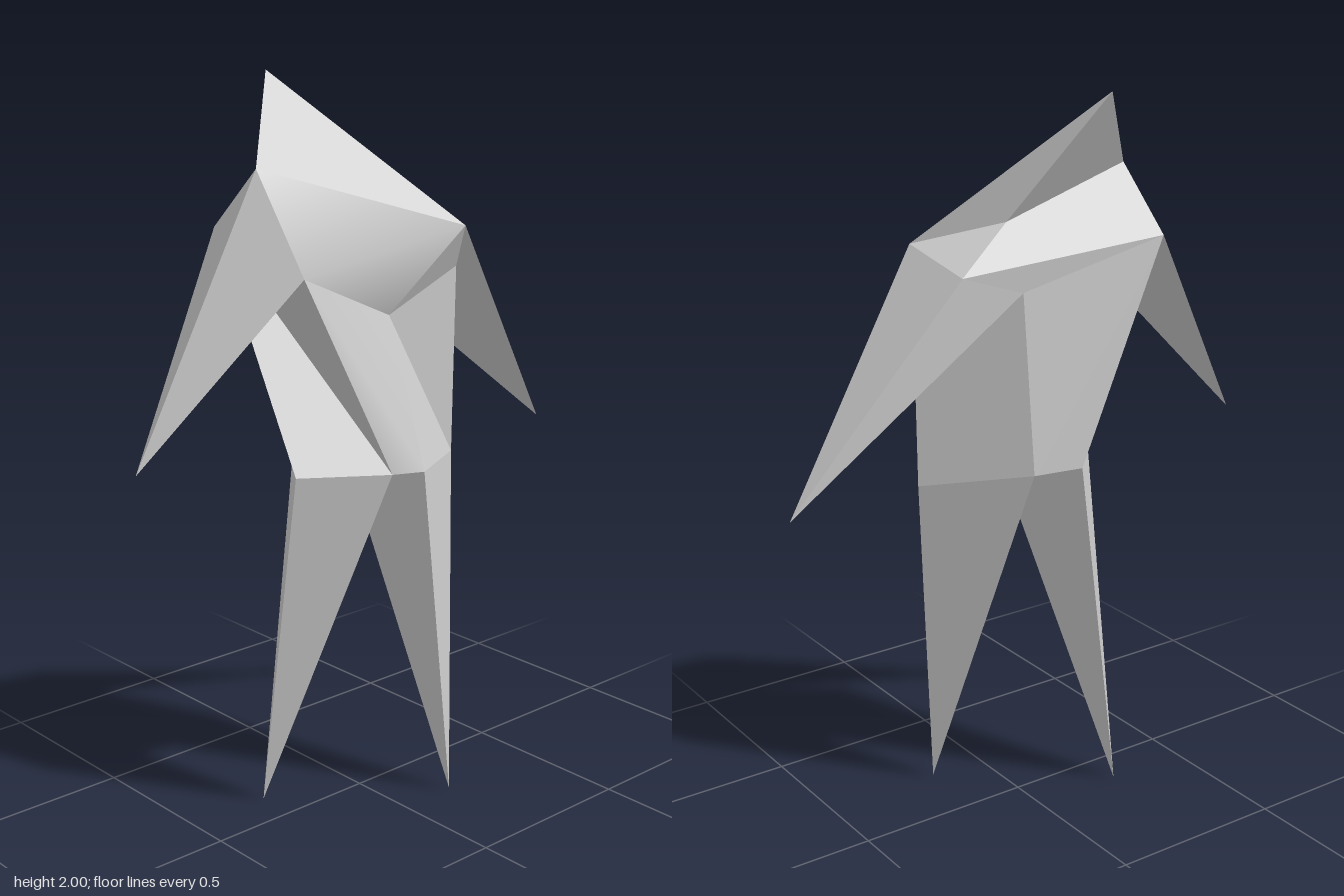
import * as THREE from 'three';

// Corner points of the folded figure, named by place (R = -x side, L = +x side)
const P = {
  headTip: [-0.145, 2, -0.2], neck: [0.05, 1.666, -0.02],
  shoulderR: [-0.335, 1.78, -0.01], chestR: [-0.305, 1.52, 0.135], backR: [-0.33, 1.615, -0.19],
  shoulderL: [0.23, 1.6, 0.16], backL: [0.228, 1.555, -0.085], spine: [0.06, 1.5, -0.11],
  belly: [0.05, 1.37, 0.06], sideL: [0.265, 1.48, 0.093],
  handR: [-0.69, 1.05, -0.06], handL: [0.685, 0.975, 0.018],
  hipR: [-0.305, 1, 0.095], hipBackR: [-0.097, 1.01, -0.16], groinR: [-0.05, 0.978, 0.183],
  hipL: [0.265, 0.962, 0.084], hipBackL: [0.043, 1.01, -0.137], groinL: [0.05, 0.97, 0.2],
  footR: [-0.262, 0.005, -0.112], footL: [0.165, 0.01, 0.195],
};

// Faces of each part, counter-clockwise from outside
const PARTS = {
  head: ['headTip shoulderR shoulderL', 'headTip shoulderL neck', 'headTip neck shoulderR'],
  torso: [
    'chestR belly shoulderL shoulderR', 'chestR groinR groinL belly',
    'chestR backR groinR', 'groinR backR hipR', 'hipR backR hipBackR',
    'backR spine hipBackL hipBackR', 'backR backL spine',
    'neck shoulderL backL', 'neck backL backR shoulderR',
    'spine shoulderL sideL', 'shoulderL belly sideL', 'sideL belly hipL',
    'belly groinL hipL', 'spine sideL hipL hipBackL', 'groinL groinR hipBackR hipBackL',
  ],
};

// Limbs are three-sided spikes running from a base triangle to a tip
const LIMBS = {
  rightArm: ['shoulderR backR chestR', 'handR'],
  leftArm: ['backL shoulderL spine', 'handL'],
  rightLeg: ['groinR hipR hipBackR', 'footR'],
  leftLeg: ['hipL groinL hipBackL', 'footL'],
};
for (const [name, [base, tip]] of Object.entries(LIMBS)) {
  const b = base.split(' ');
  PARTS[name] = b.map((p, i) => `${p} ${b[(i + 1) % 3]} ${tip}`);
}

// Normals are smooth within a face and sharp between faces
function facetGeometry(faces) {
  const positions = [], index = [];
  for (const face of faces) {
    const corners = face.split(' '), start = positions.length / 3;
    corners.forEach((c) => positions.push(...P[c]));
    for (let i = 1; i < corners.length - 1; i++) index.push(start, start + i, start + i + 1);
  }
  const g = new THREE.BufferGeometry();
  g.setAttribute('position', new THREE.Float32BufferAttribute(positions, 3));
  g.setIndex(index);
  g.computeVertexNormals();
  return g;
}

export function createModel() {
  const group = new THREE.Group();
  group.name = 'foldedFigure';
  const material = new THREE.MeshStandardMaterial({ color: 0xcccccc, side: THREE.DoubleSide });
  for (const [name, faces] of Object.entries(PARTS)) {
    const mesh = new THREE.Mesh(facetGeometry(faces), material);
    mesh.name = name;
    group.add(mesh);
  }
  return group;
}
